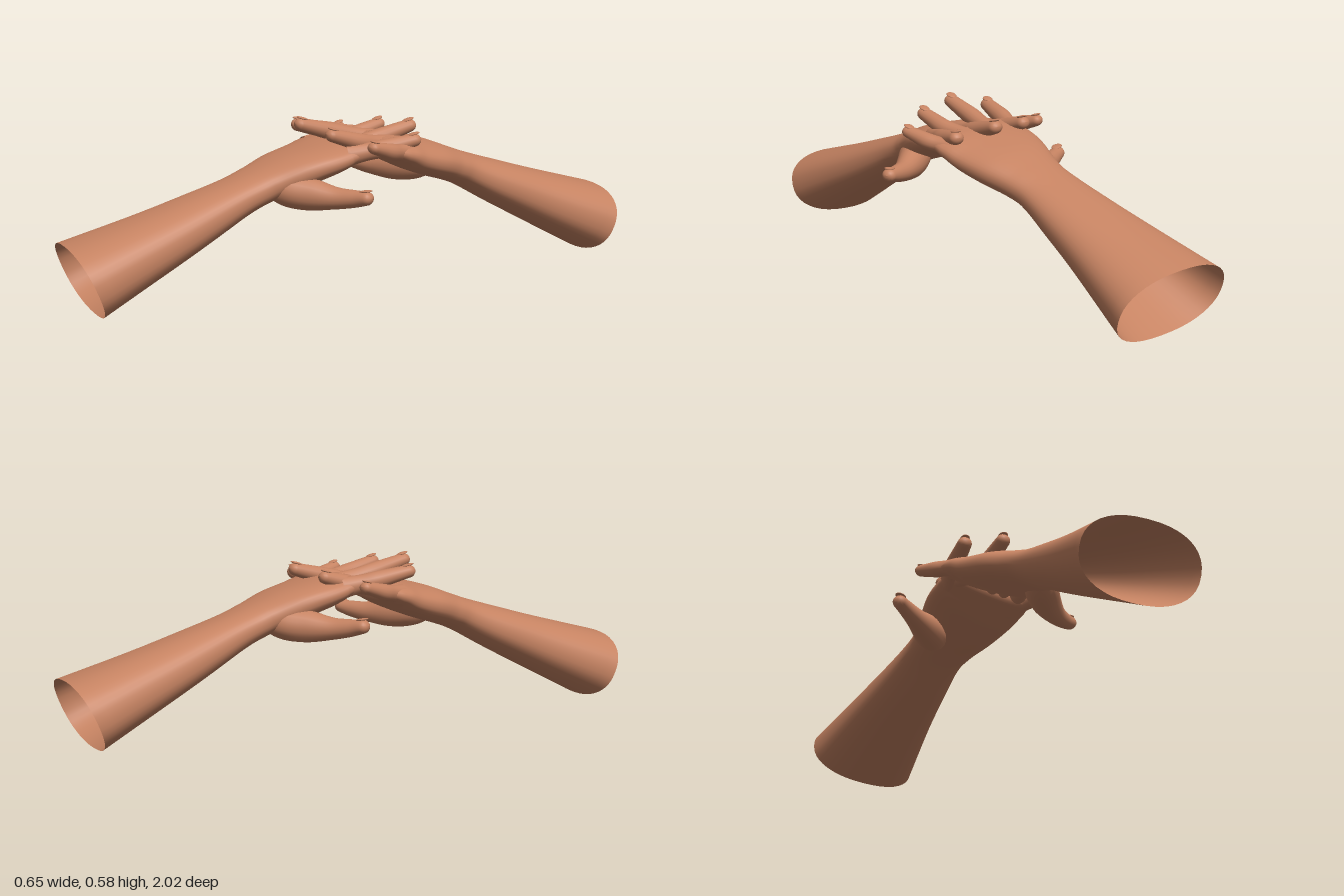
import * as THREE from 'three';

const skin = new THREE.MeshStandardMaterial({ color: 0xc68362, side: THREE.DoubleSide });
skin.name = 'skin';
const UP = new THREE.Vector3(0, 1, 0);

// Smooth loft through rows of [x, y, z, halfWidth, halfThickness], rounded at the far end
function loft(name, rows, { steps = 24, sides = 20, power = 2, cap = null } = {}) {
  const path = new THREE.CatmullRomCurve3(rows.map(r => new THREE.Vector3(r[0], r[1], r[2])), false, 'catmullrom');
  const size = new THREE.CatmullRomCurve3(rows.map(r => new THREE.Vector3(r[3], r[4], 0)), false, 'catmullrom');
  const pos = [], idx = [];
  const ring = (t, push, shrink) => {
    const c = path.getPoint(t), s = size.getPoint(t), T = path.getTangent(t);
    const side = new THREE.Vector3().crossVectors(T, UP).normalize();
    const up = new THREE.Vector3().crossVectors(side, T);
    c.addScaledVector(T, push);
    const inset = cap ?? s.y;
    const w = Math.max(s.x - inset * (1 - shrink), s.x * 0.001);
    const h = s.y * shrink;
    const p = v => Math.sign(v) * Math.abs(v) ** (2 / power);
    for (let j = 0; j < sides; j++) {
      const a = j / sides * Math.PI * 2;
      const v = c.clone().addScaledVector(side, w * p(Math.cos(a))).addScaledVector(up, h * p(Math.sin(a)));
      pos.push(v.x, v.y, v.z);
    }
  };
  let count = 0;
  for (let i = 0; i <= steps; i++, count++) ring(i / steps, 0, 1);
  const r = cap ?? rows[rows.length - 1][4];
  for (let k = 1; k <= 5; k++, count++) {
    const a = k / 5 * Math.PI / 2;
    ring(1, r * Math.sin(a), Math.max(Math.cos(a), 0.001));
  }
  for (let i = 0; i < count - 1; i++) {
    for (let j = 0; j < sides; j++) {
      const a = i * sides + j, c = i * sides + (j + 1) % sides;
      idx.push(a, a + sides, c, c, a + sides, c + sides);
    }
  }
  const g = new THREE.BufferGeometry();
  g.setAttribute('position', new THREE.Float32BufferAttribute(pos, 3));
  g.setIndex(idx);
  g.computeVertexNormals();
  const mesh = new THREE.Mesh(g, skin);
  mesh.name = name;
  return mesh;
}

// Thin oval nail resting on a fingertip
function nail(name, tip, before, r) {
  const a = new THREE.Vector3(...before), b = new THREE.Vector3(...tip);
  const dir = b.clone().sub(a).normalize();
  const side = new THREE.Vector3().crossVectors(UP, dir).normalize();
  const up = new THREE.Vector3().crossVectors(dir, side);
  const mesh = new THREE.Mesh(new THREE.SphereGeometry(1, 14, 8), skin);
  mesh.name = name;
  mesh.quaternion.setFromRotationMatrix(new THREE.Matrix4().makeBasis(side, up, dir));
  mesh.scale.set(r * 0.7, 0.004, r * 0.9);
  mesh.position.copy(b).addScaledVector(up, r * 0.93).addScaledVector(dir, r * 0.05);
  return mesh;
}

// Finger from knuckle to tip with slight swelling at the joints
function finger(name, base, mid, tip, r) {
  const g = new THREE.Group();
  g.name = name;
  const mix = (a, b, t) => a.map((v, i) => v + (b[i] - v) * t);
  const rows = [
    [...base, r * 1.25, r * 1.3],
    [...mix(base, mid, 0.55), r * 1.08, r * 1.08],
    [...mid, r * 1.1, r * 1.08],
    [...mix(mid, tip, 0.5), r * 1.0, r * 0.94],
    [...tip, r * 0.88, r * 0.78],
  ];
  g.add(loft(name + 'Flesh', rows, { sides: 16 }), nail(name + 'Nail', tip, mid, r * 0.83));
  return g;
}

function buildArm(name) {
  const arm = new THREE.Group();
  arm.name = name;

  // Open sleeve-like forearm flowing into wrist and palm
  arm.add(loft('forearmAndPalm', [
    [-0.125, 0.115, 0.955, 0.203, 0.122],
    [-0.088, 0.210, 0.72, 0.158, 0.094],
    [-0.066, 0.281, 0.55, 0.130, 0.075],
    [-0.050, 0.337, 0.42, 0.113, 0.060],
    [-0.045, 0.368, 0.34, 0.120, 0.058],
    [-0.038, 0.400, 0.25, 0.148, 0.060],
    [-0.024, 0.432, 0.15, 0.172, 0.054],
    [-0.020, 0.453, 0.09, 0.178, 0.045],
    [-0.018, 0.465, 0.05, 0.174, 0.037],
  ], { steps: 48, sides: 40, power: 2.3, cap: 0.03 }));

  // Thumb with its fleshy base
  const thumbTip = [0.278, 0.346, 0.142];
  const thumbMid = [0.235, 0.340, 0.160];
  arm.add(loft('thumb', [
    [0.000, 0.370, 0.33, 0.040, 0.040],
    [0.045, 0.352, 0.285, 0.056, 0.054],
    [0.105, 0.342, 0.235, 0.050, 0.053],
    [0.175, 0.336, 0.190, 0.036, 0.037],
    [...thumbMid, 0.028, 0.029],
    [...thumbTip, 0.025, 0.023],
  ]));
  arm.add(nail('thumbNail', thumbTip, thumbMid, 0.025));

  // Heel of the palm on the little finger side
  const heel = new THREE.Mesh(new THREE.SphereGeometry(1, 24, 16), skin);
  heel.name = 'palmHeel';
  heel.scale.set(0.055, 0.04, 0.11);
  heel.position.set(-0.11, 0.395, 0.22);
  heel.rotation.x = 0.35;
  arm.add(heel);

  // Four fingers
  arm.add(
    finger('indexFinger', [0.115, 0.458, 0.10], [0.165, 0.478, 0.0], [0.203, 0.502, -0.108], 0.028),
    finger('middleFinger', [0.035, 0.464, 0.08], [0.070, 0.497, -0.05], [0.092, 0.532, -0.172], 0.028),
    finger('ringFinger', [-0.058, 0.464, 0.08], [-0.065, 0.490, -0.045], [-0.055, 0.522, -0.150], 0.027),
    finger('littleFinger', [-0.150, 0.456, 0.09], [-0.178, 0.476, 0.0], [-0.190, 0.500, -0.080], 0.025),
  );
  return arm;
}

export function createModel() {
  const model = new THREE.Group();
  model.name = 'claspedHands';
  model.add(buildArm('frontArm'));

  // Second arm faces the first, turned about its own open end
  const turned = new THREE.Group();
  turned.name = 'backArmPlacement';
  turned.position.set(0.125, 0.14, -0.955);
  turned.rotation.set(0.02, 0.02, -0.08);
  const half = new THREE.Group();
  half.name = 'backArmTurn';
  half.rotation.y = Math.PI;
  const back = buildArm('backArm');
  back.position.set(0.125, -0.115, -0.955);
  half.add(back);
  turned.add(half);
  model.add(turned);
  return model;
}
